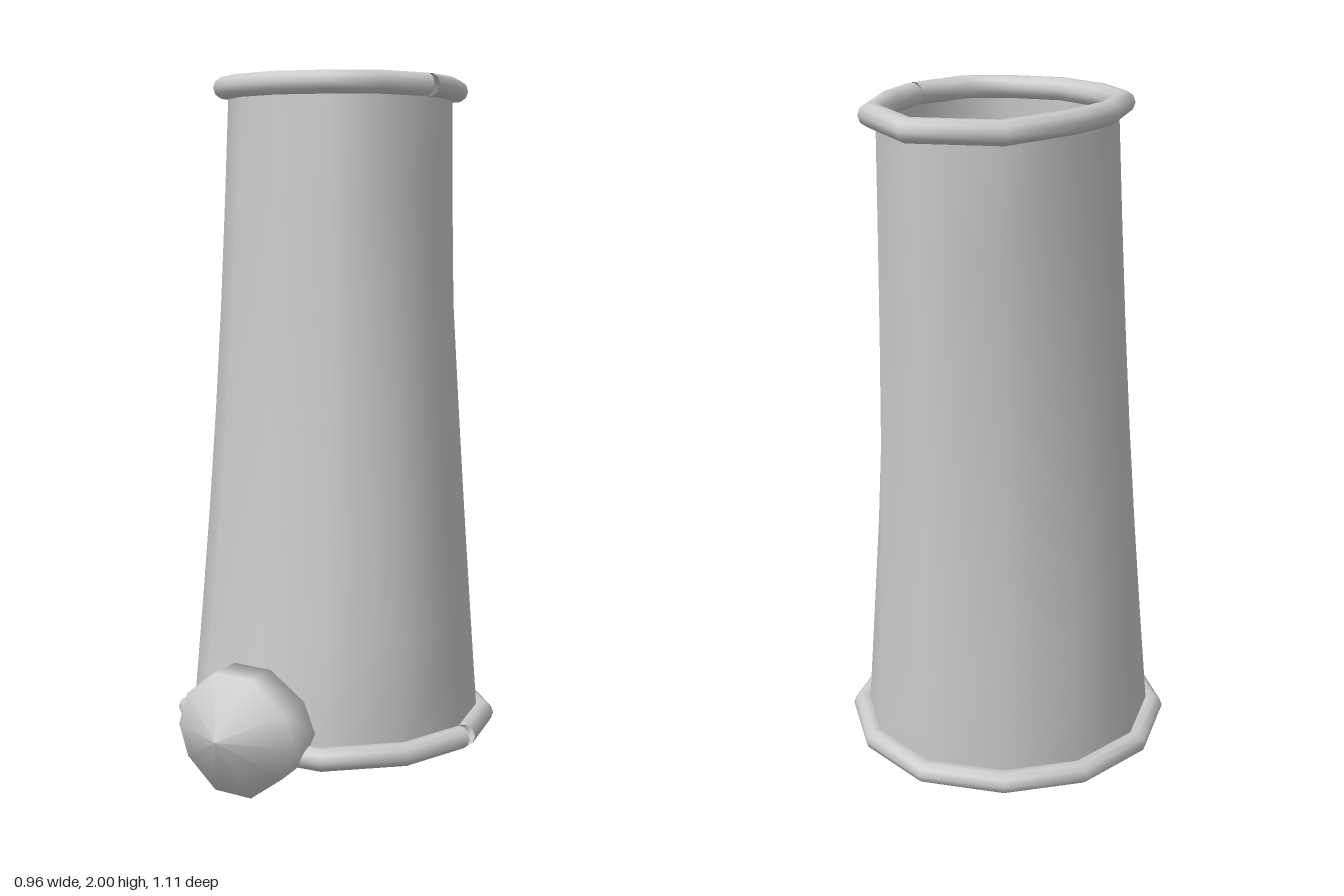
import * as THREE from 'three';

const material = new THREE.MeshStandardMaterial({ color: 0xcccccc, side: THREE.DoubleSide });

// Plan outlines [x, z] of the two rims, starting at the seam on +x and going round the back
const lowerRim = [[0.445, -0.05], [0.385, -0.27], [0.225, -0.43], [0, -0.5], [-0.225, -0.43], [-0.385, -0.27],
  [-0.445, -0.04], [-0.385, 0.18], [-0.215, 0.35], [0, 0.372], [0.215, 0.35], [0.385, 0.18], [0.445, -0.035]];
const upperRim = [[0.31, -0.05], [0.285, -0.2], [0.21, -0.385], [0, -0.518], [-0.225, -0.425], [-0.295, -0.2],
  [-0.31, -0.04], [-0.26, 0.14], [-0.155, 0.215], [0, 0.257], [0.155, 0.215], [0.26, 0.14], [0.31, -0.035]];
const LOW_Y = 0.104, HIGH_Y = 1.965, CORD = 0.033;

// Skin rows of points into one smooth surface; each row closes on itself
function loft(name, rows) {
  const n = rows[0].length, index = [];
  for (let r = 0; r < rows.length - 1; r++) {
    for (let c = 0; c < n; c++) {
      const a = r * n + c, b = r * n + (c + 1) % n;
      index.push(a, b, b + n, a, b + n, a + n);
    }
  }
  const geometry = new THREE.BufferGeometry();
  geometry.setAttribute('position', new THREE.Float32BufferAttribute(rows.flat(2), 3));
  geometry.setIndex(index);
  geometry.computeVertexNormals();
  const mesh = new THREE.Mesh(geometry, material);
  mesh.name = name;
  return mesh;
}

// Tapered sleeve wall, slightly hollowed between its two ends
function sleeve() {
  const rows = [];
  const steps = 6;
  for (let s = 0; s <= steps; s++) {
    const t = s / steps, dip = Math.sin(Math.PI * t);
    rows.push(lowerRim.slice(0, 12).map(([x, z], i) => {
      const px = THREE.MathUtils.lerp(x, upperRim[i][0], t) * 0.965;
      const pz = THREE.MathUtils.lerp(z, upperRim[i][1], t) * 0.97;
      const shift = z > 0 ? -0.025 * dip : 0.012 * dip;
      return [px, THREE.MathUtils.lerp(LOW_Y, HIGH_Y, t), pz + shift];
    }));
  }
  return loft('sleeve', rows);
}

// Round cord following a rim, mitred at the corners and split at the seam
function cord(name, path, y) {
  const direction = (a, b) => new THREE.Vector2(b[0] - a[0], b[1] - a[1]).normalize();
  const last = path.length - 1;
  const rows = path.map((p, i) => {
    const before = direction(path[Math.max(i - 1, 0)], path[Math.max(i, 1)]);
    const after = direction(path[Math.min(i, last - 1)], path[Math.min(i + 1, last)]);
    const tangent = before.clone().add(after).normalize();
    const mitre = CORD / tangent.dot(before);
    return Array.from({ length: 10 }, (_, k) => {
      const a = k / 10 * Math.PI * 2, out = Math.cos(a) * mitre;
      return [p[0] - tangent.y * out, y - Math.sin(a) * CORD, p[1] + tangent.x * out];
    });
  });
  return loft(name, rows);
}

// Faceted stud, its hollow back curved to sit against the sleeve
function stud() {
  const outline = [[0.215, 0.17], [0.18, 0.26], [0.065, 0.34], [-0.07, 0.34], [-0.185, 0.265],
    [-0.222, 0.17], [-0.185, 0.08], [-0.07, 0], [0.065, 0], [0.175, 0.08]];
  return loft('stud', [
    outline.map(() => [0, 0.17, 0.372]),
    outline.map(([x, y]) => [x * (x > 0 ? 0.87 : 1), y, 0.372 - 0.7 * x * x]),
    outline.map(([x, y]) => [x * (x > 0 ? 1 : 0.84), y, 0.478]),
    outline.map(() => [0, 0.17, 0.555]),
  ]);
}

export function createModel() {
  const model = new THREE.Group();
  model.name = 'cuff';
  model.add(sleeve(), cord('lowerRim', lowerRim, LOW_Y), cord('upperRim', upperRim, HIGH_Y), stud());
  return model;
}
